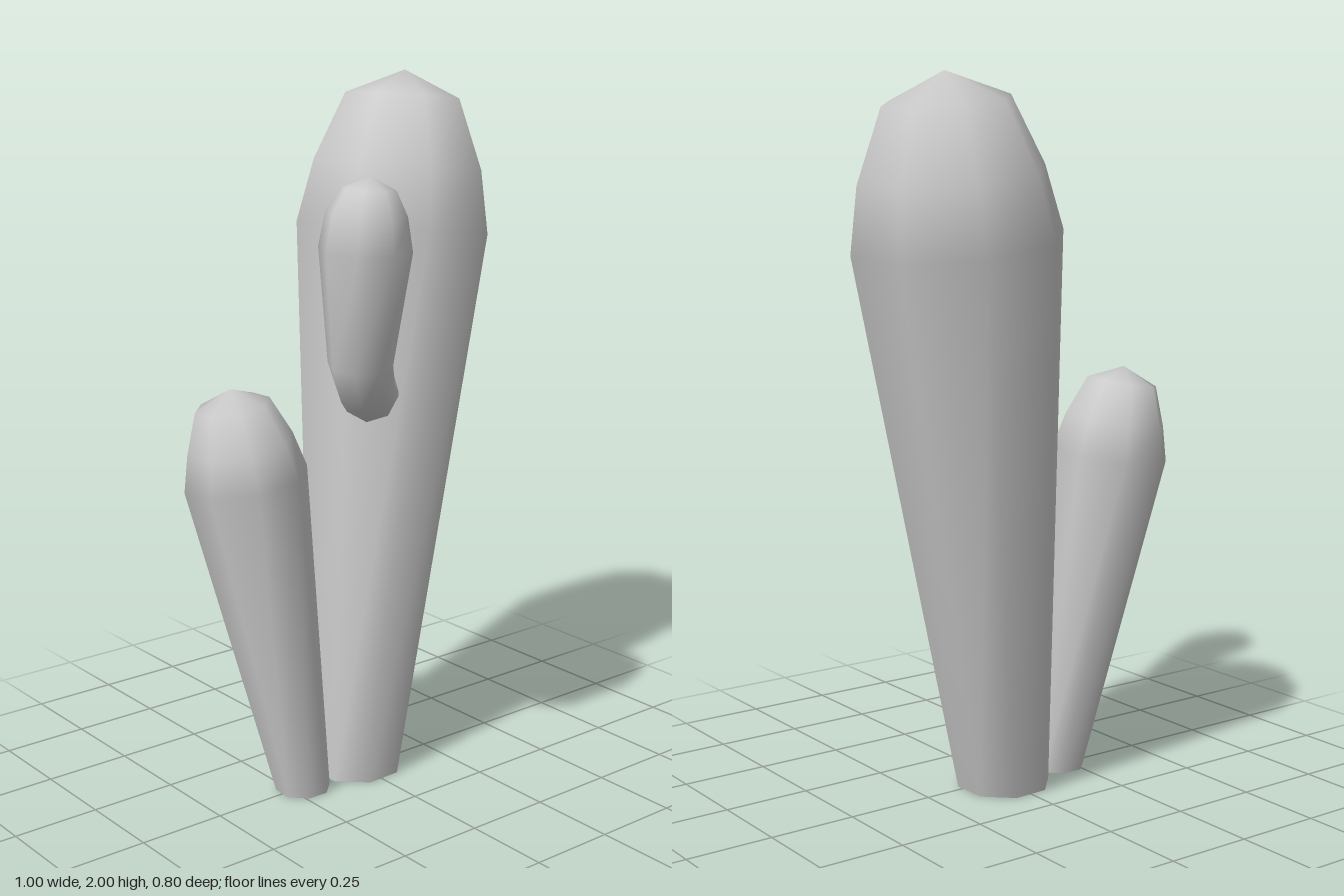
import * as THREE from 'three';

const SIDES = 8;
const UP = new THREE.Vector3(0, 1, 0);
const material = new THREE.MeshStandardMaterial({ color: 0xcccccc, side: THREE.DoubleSide });

// Smooth eight-sided limb: rings [x, y, z, radius] square to the path, closed by the tip, open at the start.
function limb(name, phase, rings, tip, startDir) {
  const centres = rings.map(([x, y, z]) => new THREE.Vector3(x, y, z));
  const end = new THREE.Vector3(...tip);
  const path = [...centres, end];
  const positions = [];
  const index = [];

  rings.forEach((ring, i) => {
    const dir = i === 0 ? startDir.clone() : path[i + 1].clone().sub(path[i - 1]);
    const turn = new THREE.Quaternion().setFromUnitVectors(UP, dir.normalize());
    for (let j = 0; j < SIDES; j++) {
      const a = THREE.MathUtils.degToRad(phase) + (j / SIDES) * Math.PI * 2;
      const p = new THREE.Vector3(Math.cos(a), 0, -Math.sin(a));
      p.multiplyScalar(ring[3]).applyQuaternion(turn).add(centres[i]);
      positions.push(p.x, p.y, p.z);
    }
  });
  positions.push(end.x, end.y, end.z);

  const last = rings.length - 1;
  for (let j = 0; j < SIDES; j++) {
    const k = (j + 1) % SIDES;
    for (let i = 0; i < last; i++) {
      const a = i * SIDES + j, b = i * SIDES + k;
      index.push(a, b, b + SIDES, a, b + SIDES, a + SIDES);
    }
    index.push(last * SIDES + j, last * SIDES + k, rings.length * SIDES);
  }

  const geometry = new THREE.BufferGeometry();
  geometry.setAttribute('position', new THREE.Float32BufferAttribute(positions, 3));
  geometry.setIndex(index);
  geometry.computeVertexNormals();
  const mesh = new THREE.Mesh(geometry, material);
  mesh.name = name;
  return mesh;
}

export function createModel() {
  const cactus = new THREE.Group();
  cactus.name = 'cactus';

  // Tall leaning trunk
  cactus.add(limb('trunk', -20.5, [
    [0.005, 0, -0.025, 0.135],
    [0.23, 1.56, -0.13, 0.29],
    [0.255, 1.735, -0.138, 0.254],
    [0.28, 1.925, -0.15, 0.173],
  ], [0.29, 2, -0.155], UP));

  // Short stem beside it
  cactus.add(limb('smallStem', -24, [
    [-0.21, 0, 0, 0.079],
    [-0.342, 0.93, -0.07, 0.173],
    [-0.355, 1.03, -0.077, 0.148],
    [-0.375, 1.14, -0.083, 0.104],
  ], [-0.38, 1.185, -0.085], UP));

  // Arm that leaves the trunk sideways and bends upward
  cactus.add(limb('arm', -3, [
    [0, 1.155, 0.05, 0.077],
    [-0.1, 1.178, 0.165, 0.078],
    [-0.168, 1.225, 0.228, 0.08],
    [-0.205, 1.29, 0.255, 0.086],
    [-0.207, 1.59, 0.278, 0.122],
    [-0.206, 1.68, 0.281, 0.106],
    [-0.201, 1.745, 0.284, 0.071],
  ], [-0.2, 1.777, 0.285], new THREE.Vector3(-0.65, 0.06, 0.76)));

  return cactus;
}
